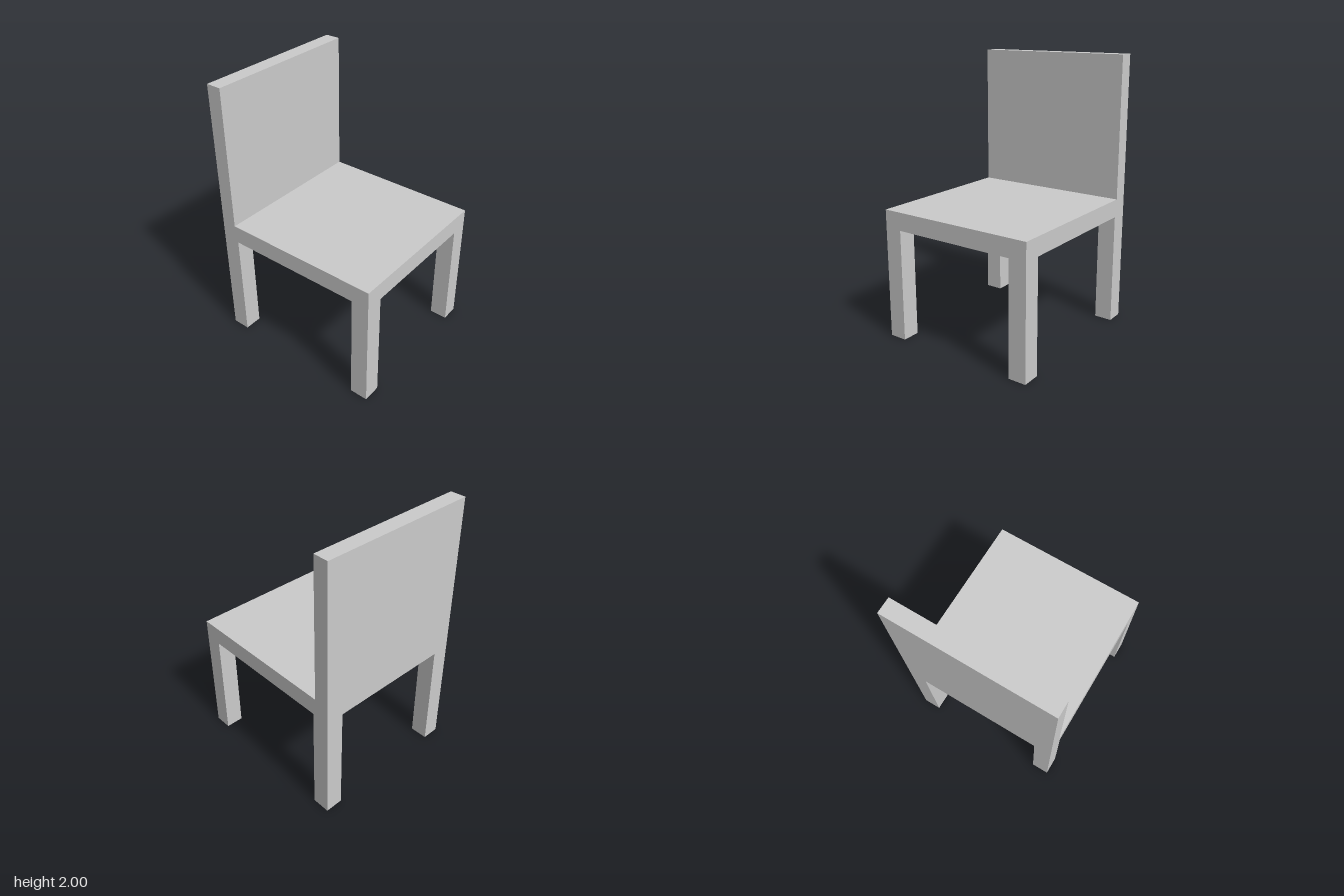
import * as THREE from 'three';

const WIDTH = 1.29, DEPTH = 1.185, HEIGHT = 2;
const SEAT_BOTTOM = 0.825, SEAT_TOP = 0.957;
const LEG = 0.132, BACK = 0.113;

export function createModel() {
  const chair = new THREE.Group();
  chair.name = 'chair';
  const material = new THREE.MeshStandardMaterial({ color: 0xcccccc, flatShading: true });

  // Box given by its size, the centre of its base in x and z, and its base height
  const addBox = (name, w, h, d, x, y, z) => {
    const mesh = new THREE.Mesh(new THREE.BoxGeometry(w, h, d), material);
    mesh.name = name;
    mesh.position.set(x, y + h / 2, z);
    chair.add(mesh);
  };

  // Seat slab
  addBox('seat', WIDTH, SEAT_TOP - SEAT_BOTTOM, DEPTH, 0, SEAT_BOTTOM, 0);

  // Backrest panel, rising from the seat along the -x edge
  addBox('backrest', BACK, HEIGHT - SEAT_TOP, DEPTH, (BACK - WIDTH) / 2, SEAT_TOP, 0);

  // Four square legs, flush with the seat corners
  for (const sx of [-1, 1]) {
    for (const sz of [-1, 1]) {
      const name = (sx < 0 ? 'backrestSide' : 'openSide') + (sz < 0 ? 'RearLeg' : 'FrontLeg');
      addBox(name, LEG, SEAT_BOTTOM, LEG, sx * (WIDTH - LEG) / 2, 0, sz * (DEPTH - LEG) / 2);
    }
  }
  return chair;
}
